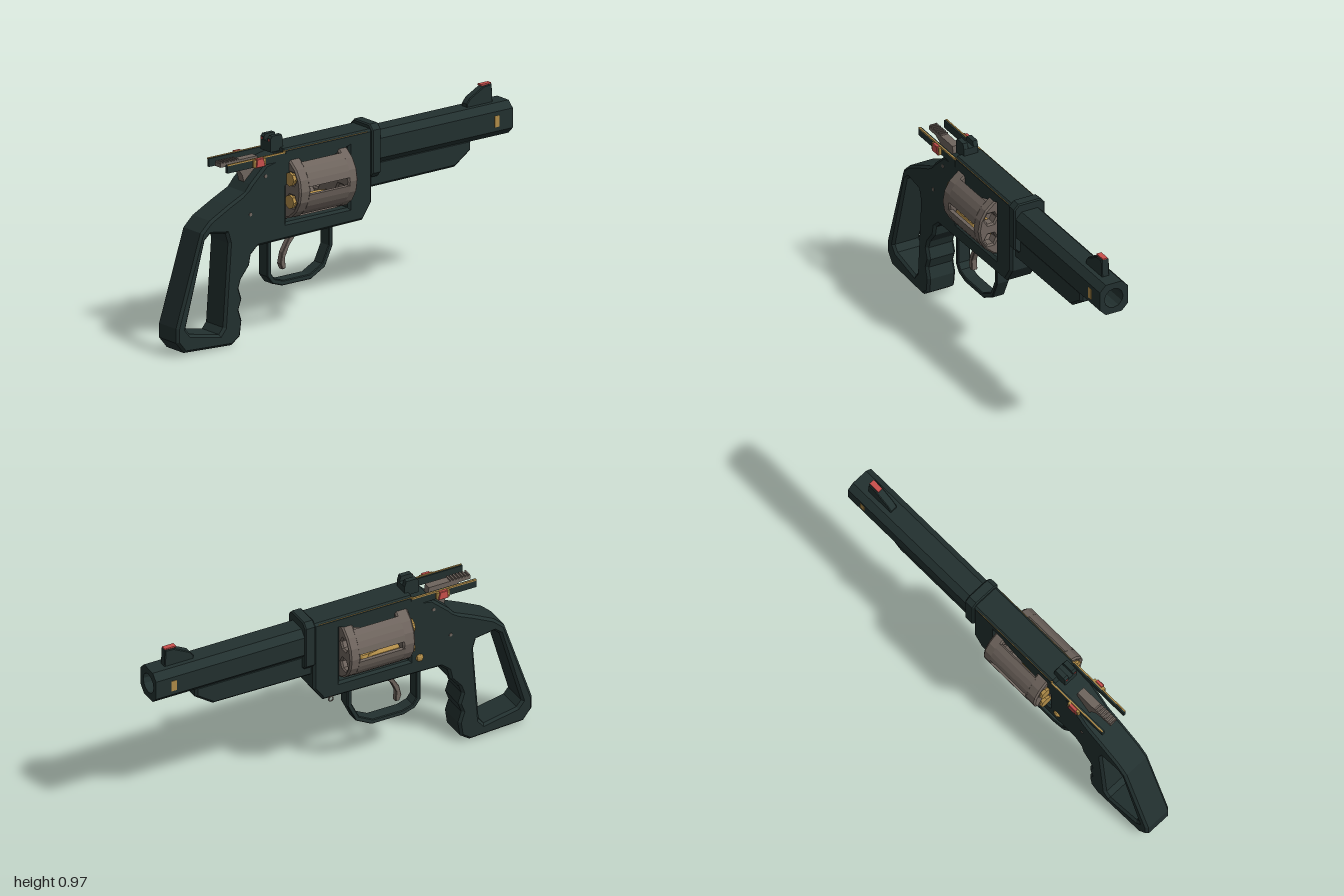
import * as THREE from 'three';

const mat = (name, color) => {
  const m = new THREE.MeshStandardMaterial({ color, flatShading: true });
  m.name = name;
  return m;
};

export function createModel() {
  const model = new THREE.Group();
  const dark = mat('dark green steel', 0x22302f);
  const steel = mat('warm grey steel', 0x6e645d);
  const brass = mat('brass', 0xb08c48);
  const red = mat('red', 0xc94f4c);

  const add = (name, geo, m, x = 0, y = 0, z = 0, parent = model) => {
    const mesh = new THREE.Mesh(geo, m);
    mesh.name = name;
    mesh.position.set(x, y, z);
    parent.add(mesh);
    return mesh;
  };
  const box = (name, m, x, y, z, w, h, d) => add(name, new THREE.BoxGeometry(w, h, d), m, x, y, z);
  const shapeOf = (pts, holes = []) => {
    const v = (list) => list.map(([a, b]) => new THREE.Vector2(a, b));
    const s = new THREE.Shape(v(pts));
    holes.forEach((h) => s.holes.push(new THREE.Path(v(h))));
    return s;
  };
  // Side profile extruded evenly about z = 0
  const slab = (pts, half, bevel = 0, holes = []) => new THREE.ExtrudeGeometry(shapeOf(pts, holes), {
    depth: 2 * (half - bevel), bevelEnabled: bevel > 0, bevelSize: bevel,
    bevelThickness: bevel, bevelOffset: -bevel, bevelSegments: 1,
  }).translate(0, 0, -(half - bevel));
  // Cross-section (z, y) extruded along x from x0 to x1
  const along = (pts, x0, x1, holes = [], bevel = 0) => new THREE.ExtrudeGeometry(shapeOf(pts, holes), {
    depth: x1 - x0 - 2 * bevel, bevelEnabled: bevel > 0, bevelSize: bevel,
    bevelThickness: bevel, bevelOffset: -bevel, bevelSegments: 1,
  }).rotateY(Math.PI / 2).translate(x0 + bevel, 0, 0);
  const ring = (r, n, cx = 0, cy = 0, turn = 0) => Array.from({ length: n }, (_, i) => {
    const a = turn + (i / n) * Math.PI * 2;
    return [cx + r * Math.cos(a), cy + r * Math.sin(a)];
  });
  const octagon = (w, h, c) => [[w, h - c], [w - c, h], [c - w, h], [-w, h - c],
    [-w, c - h], [c - w, -h], [w - c, -h], [w, c - h]];

  // Frame and skeleton grip in one body, with the grip opening and cylinder window
  const body = [[-1, 0.14], [-1, 0.07], [-0.955, 0.015], [-0.67, 0], [-0.62, 0.035], [-0.61, 0.11],
    [-0.628, 0.165], [-0.61, 0.215], [-0.628, 0.27], [-0.615, 0.31], [-0.565, 0.37], [-0.555, 0.42],
    [-0.515, 0.455], [0.11, 0.465], [0.162, 0.54], [0.162, 0.9], [-0.36, 0.9], [-0.37, 0.865],
    [-0.47, 0.845], [-0.56, 0.765], [-0.59, 0.73], [-0.69, 0.685], [-0.8, 0.63], [-0.855, 0.58]];
  const gripHole = [[-0.83, 0.54], [-0.8, 0.565], [-0.705, 0.55], [-0.69, 0.5], [-0.72, 0.095],
    [-0.745, 0.065], [-0.92, 0.1], [-0.945, 0.13]];
  const window_ = [[-0.347, 0.54], [-0.347, 0.865], [0.022, 0.865], [0.022, 0.54]];
  add('frameAndGrip', slab(body, 0.075, 0.012, [gripHole, window_]), dark);

  // Barrel with open bore, collar and underlug
  add('barrel', along(octagon(0.075, 0.08, 0.032), 0.16, 1, [ring(0.05, 12)]), dark, 0, 0.797);
  add('boreEnd', new THREE.CylinderGeometry(0.051, 0.051, 0.02, 12).rotateZ(Math.PI / 2), brass, 0.75, 0.797);
  add('collar', along(octagon(0.083, 0.13, 0.025), 0.155, 0.21, [], 0.006), dark, 0, 0.79);
  add('underlug', slab([[0.15, 0.605], [0.68, 0.61], [0.775, 0.675], [0.775, 0.73], [0.15, 0.73]], 0.05, 0.012), dark);
  for (const s of [-1, 1]) box('muzzlePort', brass, 0.905, 0.797, s * 0.075, 0.028, 0.055, 0.004);
  box('lowerMuzzlePort', brass, 0.905, 0.717, 0, 0.028, 0.004, 0.04);

  // Front sight with red insert
  add('frontSight', slab([[0.77, 0.87], [0.77, 0.893], [0.79, 0.918], [0.875, 0.962], [0.92, 0.965], [0.925, 0.87]], 0.02, 0.004), dark);
  box('frontSightInsert', red, 0.89, 0.966, 0, 0.06, 0.008, 0.026);

  // Rear sight: base and two posts
  box('rearSightBase', dark, -0.378, 0.91, 0, 0.075, 0.05, 0.076);
  for (const s of [-1, 1]) {
    add('rearSightPost', slab([[-0.415, 0.93], [-0.415, 0.95], [-0.405, 0.962], [-0.35, 0.962], [-0.34, 0.93]], 0.012),
      dark, 0, 0, s * 0.026);
    box('rearSightDot', red, -0.417, 0.942, s * 0.026, 0.003, 0.01, 0.01);
  }

  // Fluted cylinder: pierced end plates joined by six curved walls
  const cylinder = new THREE.Group();
  cylinder.name = 'cylinder';
  cylinder.position.set(0, 0.7, 0);
  model.add(cylinder);
  const R = 0.16;
  const chambers = Array.from({ length: 6 }, (_, i) => (i + 0.5) * Math.PI / 3);
  const holes = chambers.map((a) => ring(0.031, 6, 0.11 * Math.cos(a), 0.11 * Math.sin(a)));
  add('rearPlate', along(ring(R, 18), -0.335, -0.268, holes, 0.008), steel, 0, 0, 0, cylinder);
  add('frontPlate', along(ring(R, 18), -0.045, 0.012, holes, 0.008), steel, 0, 0, 0, cylinder);
  const arc = (r, half) => Array.from({ length: 5 }, (_, i) => {
    const a = half * (i / 2 - 1);
    return [r * Math.cos(a), r * Math.sin(a)];
  });
  for (const a of chambers) {
    const half = Math.PI / 6 - 0.125;
    const wall = along([...arc(R, half), ...arc(0.143, half).reverse()], -0.28, -0.035);
    add('cylinderWall', wall, steel, 0, 0, 0, cylinder).rotation.x = a;
    // Cartridge: rim, case and tapered tip
    const y = 0.11 * Math.sin(a), z = 0.11 * Math.cos(a);
    const profile = [[0, -0.35], [0.034, -0.35], [0.034, -0.338], [0.028, -0.338], [0.028, -0.17], [0.02, -0.13], [0, -0.11]];
    const round = new THREE.LatheGeometry(profile.map(([r, h]) => new THREE.Vector2(r, h)), 8).rotateZ(-Math.PI / 2);
    add('cartridge', round, brass, 0, y, z, cylinder);
  }
  add('cylinderPin', new THREE.CylinderGeometry(0.02, 0.02, 0.03, 8).rotateZ(Math.PI / 2), steel, 0.02, 0, 0, cylinder);

  // Trigger guard and trigger
  const guard = [[-0.43, 0.48], [-0.43, 0.28], [-0.4, 0.24], [-0.34, 0.22], [-0.17, 0.22], [-0.085, 0.265],
    [-0.04, 0.36], [-0.04, 0.48], [-0.064, 0.48], [-0.064, 0.365], [-0.103, 0.283], [-0.176, 0.245],
    [-0.335, 0.245], [-0.386, 0.262], [-0.406, 0.29], [-0.406, 0.48]];
  add('triggerGuard', slab(guard, 0.033, 0.004), dark);
  add('trigger', slab([[-0.28, 0.48], [-0.285, 0.44], [-0.325, 0.375], [-0.337, 0.32], [-0.325, 0.292], [-0.305, 0.295],
    [-0.31, 0.345], [-0.285, 0.4], [-0.25, 0.44], [-0.24, 0.48]], 0.015, 0.003), steel);

  // Hammer with ridged spur
  add('hammer', slab([[-0.7, 0.878], [-0.48, 0.878], [-0.46, 0.72], [-0.55, 0.73], [-0.57, 0.8], [-0.6, 0.84],
    [-0.64, 0.858], [-0.7, 0.86]], 0.02), steel);
  for (let i = 0; i < 7; i++) box('hammerRidge', steel, -0.693 + i * 0.016, 0.881, 0, 0.008, 0.01, 0.04);

  // Mirrored side rails, brass trim, safety buttons and pins
  for (const s of [-1, 1]) {
    box('sideRail', dark, -0.53, 0.865, s * 0.069, 0.345, 0.04, 0.014);
    box('railTrim', brass, -0.53, 0.884, s * 0.0735, 0.345, 0.007, 0.007);
    box('frameTrim', brass, -0.115, 0.889, s * 0.07, 0.5, 0.006, 0.006);
    box('buttonMount', brass, -0.52, 0.865, s * 0.08, 0.07, 0.035, 0.018);
    add('safetyButton', slab([[-0.545, 0.845], [-0.54, 0.888], [-0.5, 0.888], [-0.49, 0.845]], 0.009, 0.003),
      red, 0, 0, s * 0.086);
    for (const [x, y] of [[-0.475, 0.79], [-0.565, 0.62]]) {
      add('framePin', new THREE.CylinderGeometry(0.009, 0.009, 0.006, 8).rotateX(Math.PI / 2), steel, x, y, s * 0.075);
    }
  }

  // Release stud and small ring on the far side
  add('releaseStud', new THREE.SphereGeometry(0.02, 10, 6).scale(1, 1, 0.6), brass, -0.4, 0.545, -0.076);
  add('smallRing', new THREE.TorusGeometry(0.012, 0.003, 6, 12), steel, 0.07, 0.46, -0.073);

  return model;
}
